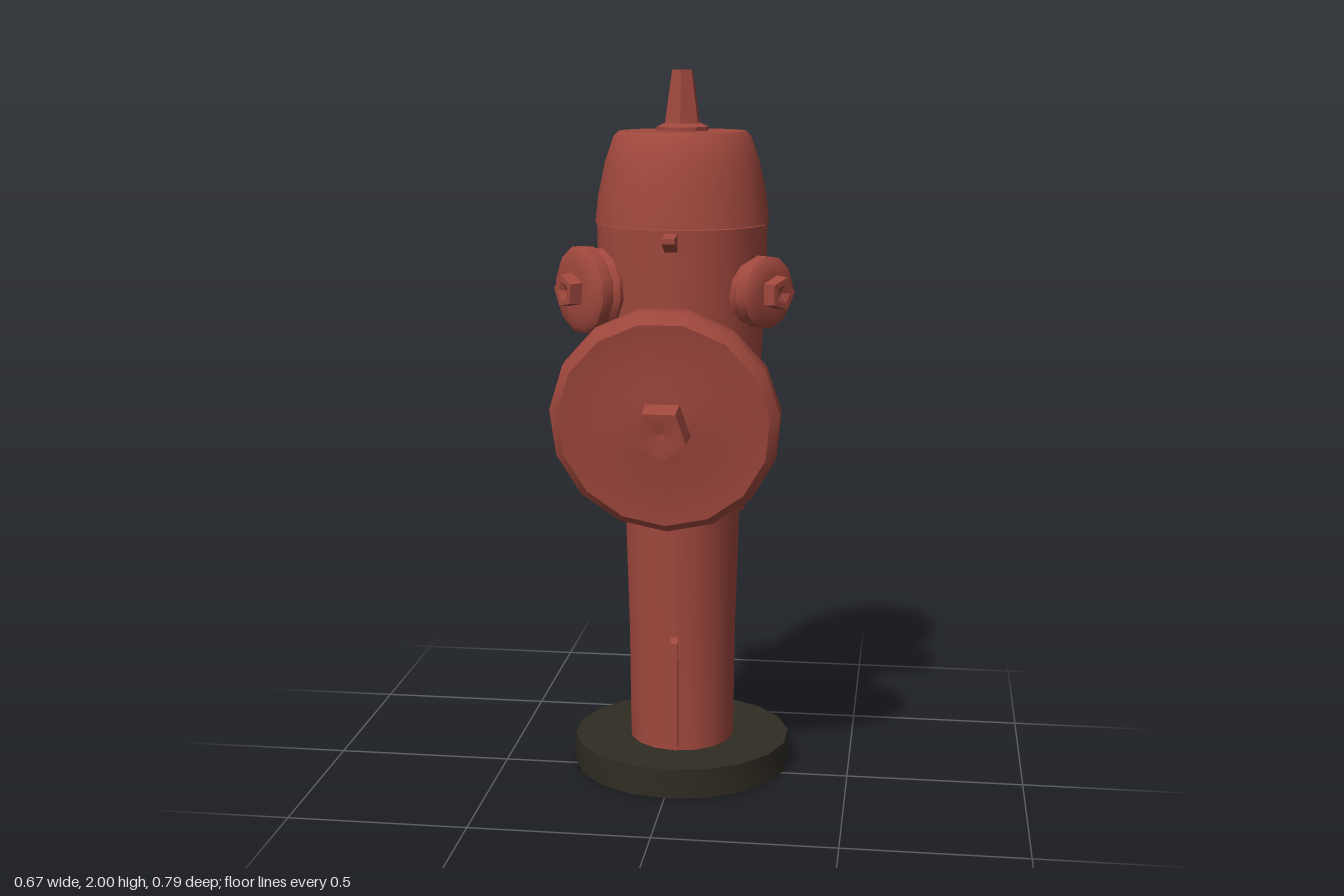
import * as THREE from 'three';
import { toCreasedNormals } from 'three/addons/utils/BufferGeometryUtils.js';

const CX = 0.01, CZ = -0.08; // barrel axis

export function createModel() {
  const red = new THREE.MeshStandardMaterial({ color: 0xa0483d, side: THREE.DoubleSide });
  red.name = 'red paint';
  const dark = new THREE.MeshStandardMaterial({ color: 0x302c23, side: THREE.DoubleSide });
  dark.name = 'dark base';
  const model = new THREE.Group();
  model.name = 'hydrant';

  const add = (parent, name, geo, mat, x = 0, y = 0, z = 0) => {
    const mesh = new THREE.Mesh(geo, mat);
    mesh.name = name;
    mesh.position.set(x, y, z);
    parent.add(mesh);
    return mesh;
  };
  // Turned part from [radius, height] pairs, listed bottom to top
  const turned = (pairs, sides, crease = 0.6, start = 0, sweep = Math.PI * 2) =>
    toCreasedNormals(new THREE.LatheGeometry(
      pairs.map(([r, h]) => new THREE.Vector2(r, h)), sides, start, sweep), crease);

  // Ground ring, split by a narrow gap at the back
  add(model, 'baseRing', turned(
    [[0.14, 0], [0.312, 0], [0.312, 0.085], [0.14, 0.085], [0.14, 0]],
    18, 0.5, Math.PI + 0.018, Math.PI * 2 - 0.036), dark, CX, 0, CZ);

  // Lower barrel, slightly narrower across than front to back
  const barrel = turned([[0, 0.05], [0.162, 0.05], [0.166, 0.4], [0.178, 0.79]], 16);
  barrel.scale(0.93, 1, 1);
  add(model, 'lowerBarrel', barrel, red, CX, 0, CZ);

  // Upper barrel flaring to the bonnet seam
  add(model, 'upperBarrel', turned(
    [[0.16, 0.77], [0.182, 0.77], [0.192, 0.83], [0.21, 0.92], [0.224, 1.2], [0.236, 1.45], [0.238, 1.58], [0, 1.58]], 18),
  red, CX, 0, CZ);

  // Bonnet with flat top
  add(model, 'bonnet', turned(
    [[0.2, 1.58], [0.243, 1.583], [0.234, 1.66], [0.215, 1.75], [0.191, 1.82], [0.178, 1.834], [0, 1.836]], 18),
  red, CX, 0, CZ);

  // Operating nut and its washer
  add(model, 'topWasher', turned([[0.073, 1.832], [0.073, 1.846], [0.05, 1.856], [0, 1.856]], 10, 0.5), red, CX, 0, CZ);
  add(model, 'topNut', turned([[0.054, 1.845], [0.031, 2.0], [0.015, 2.0], [0.01, 1.985], [0, 1.985]], 6, 0.9), red, CX, 0, CZ);

  // Outlet: turned cap and five-sided nut along a direction, origin at the cap face
  const outlet = (name, pos, dir, profile, sides, nutR, nutBase, nutH) => {
    const g = new THREE.Group();
    g.name = name;
    g.position.set(...pos);
    g.quaternion.setFromUnitVectors(new THREE.Vector3(0, 1, 0), new THREE.Vector3(...dir).normalize());
    add(g, name + 'Cap', turned(profile, sides, 0.7), red);
    add(g, name + 'Nut', turned(
      [[nutR, nutBase], [nutR * 0.92, nutH], [nutR * 0.55, nutH], [0, nutH - 0.012]], 5, 0.4), red);
    model.add(g);
  };

  // Large front outlet, leaning forward at the top
  outlet('frontOutlet', [0.01, 1.08, 0.318], [0, -0.155, 0.988], [
    [0.2, -0.3], [0.18, -0.2], [0.2, -0.145], [0.265, -0.135], [0.283, -0.115],
    [0.28, -0.085], [0.298, -0.082], [0.311, -0.06], [0.31, -0.02], [0.285, 0.002],
    [0.17, -0.004], [0.09, 0.008], [0, 0.008],
  ], 15, 0.08, -0.01, 0.074);

  // Two smaller side outlets
  const sideProfile = r => [
    [r * 0.75, -0.16], [r * 0.7, -0.1], [r * 0.88, -0.097], [r * 0.94, -0.075], [r * 0.84, -0.06],
    [r * 0.86, -0.052], [r, -0.046], [r, -0.014], [r * 0.85, 0], [r * 0.5, 0.004], [0, 0.004],
  ];
  outlet('rightOutlet', [-0.265, 1.407, 0.085], [-0.74, 0, 0.67], sideProfile(0.122), 12, 0.05, 0, 0.04);
  outlet('leftOutlet', [0.276, 1.407, 0.068], [0.8, 0, 0.6], sideProfile(0.1), 12, 0.05, 0, 0.04);

  // Thin side-profile fins on the centre line, given as [z, y]
  const fin = (name, pairs, width) => {
    const shape = new THREE.Shape(pairs.map(([z, y]) => new THREE.Vector2(-z, y)));
    const geo = new THREE.ExtrudeGeometry(shape, { depth: width, bevelEnabled: false });
    geo.translate(0, 0, -width / 2);
    geo.rotateY(Math.PI / 2);
    add(model, name, geo, red, CX);
  };
  fin('frontTab', [[0.1, 1.578], [0.218, 1.565], [0.218, 1.55], [0.15, 1.52], [0.1, 1.42]], 0.035);
  fin('backTab', [[-0.3, 1.46], [-0.33, 1.44], [-0.372, 1.36], [-0.365, 1.33], [-0.325, 1.26], [-0.29, 1.22]], 0.025);
  fin('frontLip', [[0.05, 0.77], [0.118, 0.775], [0.116, 0.795], [0.06, 0.89]], 0.16);
  fin('frontSeam', [[0.06, 0.1], [0.096, 0.1], [0.1, 0.41], [0.07, 0.44]], 0.02);
  fin('backSeam', [[-0.22, 0.4], [-0.262, 0.43], [-0.272, 0.6], [-0.23, 0.62]], 0.02);

  return model;
}
